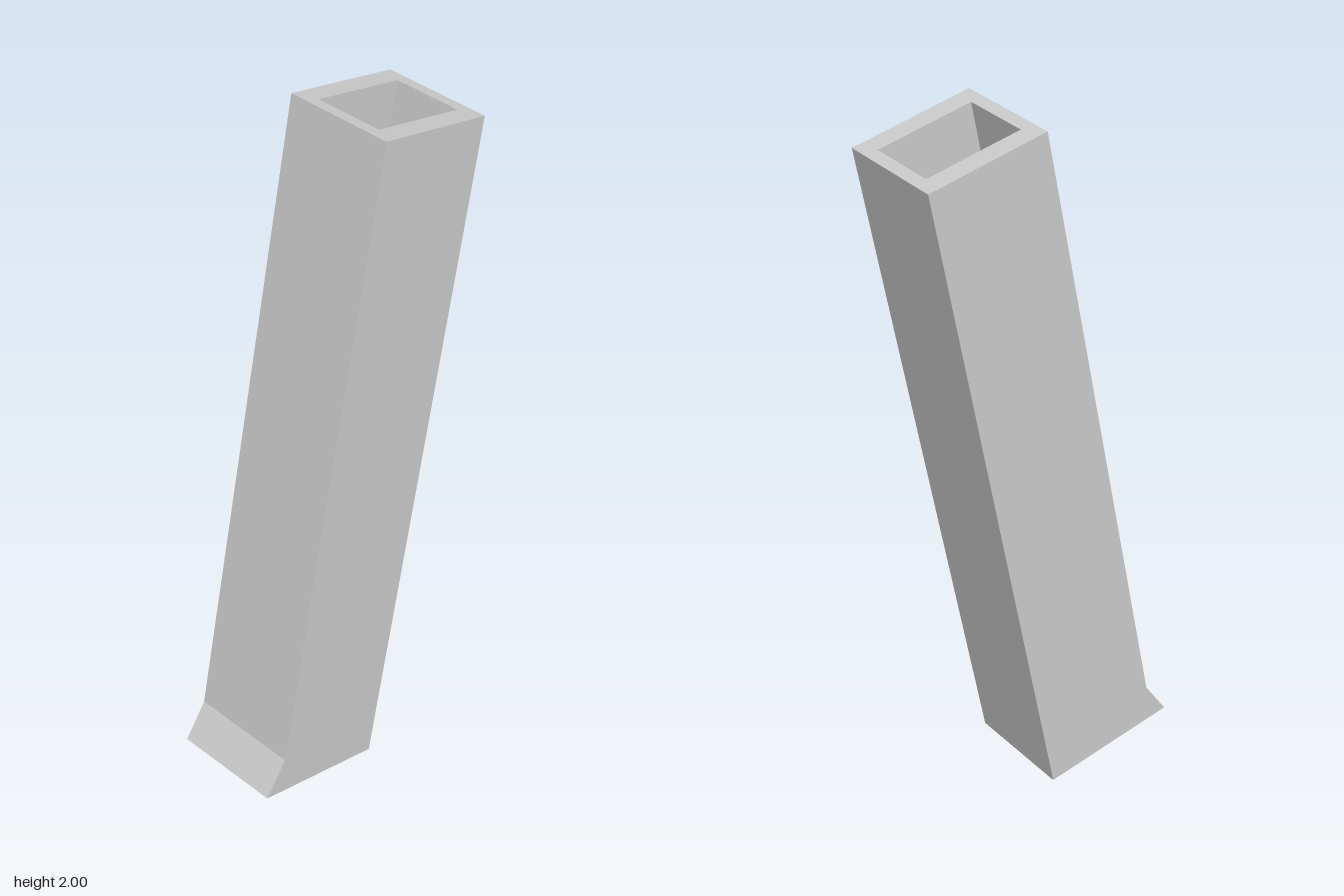
import * as THREE from 'three';

const WIDTH = 0.332, DEPTH = 0.36, LENGTH = 1.968;
const FOOT_HEIGHT = 0.112, FOOT_DEPTH = 0.408;
const SIDE_WALL = 0.061, END_WALL = 0.037;
const LEAN = Math.atan(0.2);

const points = (list) => list.map(([x, y]) => new THREE.Vector2(x, y));
const rect = (w, d) => points([[-w / 2, -d / 2], [w / 2, -d / 2], [w / 2, d / 2], [-w / 2, d / 2]]);

export function createModel() {
  const material = new THREE.MeshStandardMaterial({ color: 0xcccccc, flatShading: true });
  const model = new THREE.Group();
  model.name = 'leaningBoxTube';

  // everything is built upright, then leaned back about the rear bottom edge
  const lean = new THREE.Group();
  lean.name = 'leaningBody';
  lean.rotation.x = -LEAN;
  lean.position.z = -0.008;
  model.add(lean);

  // hollow rectangular shaft, open at the top
  const section = new THREE.Shape(rect(WIDTH, DEPTH));
  section.holes.push(new THREE.Path(rect(WIDTH - 2 * SIDE_WALL, DEPTH - 2 * END_WALL).reverse()));
  const shaftGeometry = new THREE.ExtrudeGeometry(section, { depth: LENGTH - FOOT_HEIGHT, bevelEnabled: false });
  shaftGeometry.rotateX(-Math.PI / 2).translate(0, FOOT_HEIGHT, DEPTH / 2);
  const shaft = new THREE.Mesh(shaftGeometry, material);
  shaft.name = 'hollowShaft';
  lean.add(shaft);

  // solid foot with a flared front lip, closing the shaft below
  const profile = new THREE.Shape(points([[0, 0], [FOOT_DEPTH, 0], [DEPTH, FOOT_HEIGHT], [0, FOOT_HEIGHT]]));
  const footGeometry = new THREE.ExtrudeGeometry(profile, { depth: WIDTH, bevelEnabled: false });
  footGeometry.rotateY(-Math.PI / 2).translate(WIDTH / 2, 0, 0);
  const foot = new THREE.Mesh(footGeometry, material);
  foot.name = 'flaredFoot';
  lean.add(foot);

  return model;
}
